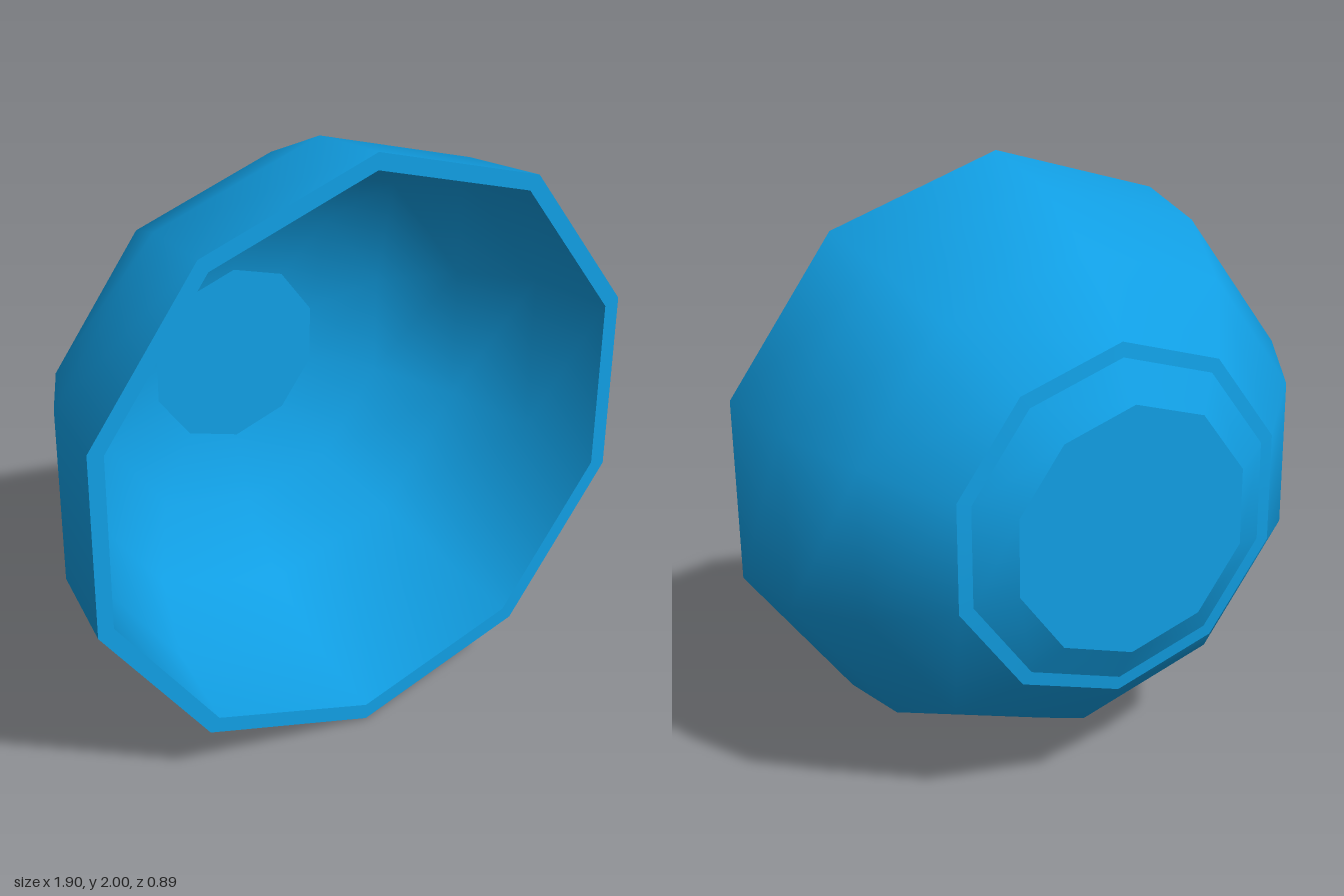
import * as THREE from 'three';

const SIDES = 10;
const FRONT = 0.445; // z of the open rim

// Outer wall follows rings of a unit sphere, 18 degrees apart
const ring = (i) => [Math.cos(i * Math.PI / 10), FRONT - Math.sin(i * Math.PI / 10)];

export function createModel() {
  const bowl = new THREE.Group();
  bowl.name = 'bowl';
  const material = new THREE.MeshStandardMaterial({ color: 0x119fe4 });

  // Turns a [radius, z] profile around the z axis; each piece is smooth, with creases between pieces
  const turn = (name, profile) => {
    const points = profile.map(([r, z]) => new THREE.Vector2(r, z));
    const geometry = new THREE.LatheGeometry(points, SIDES);
    geometry.rotateX(Math.PI / 2);
    geometry.translate(0, 1, 0);
    const mesh = new THREE.Mesh(geometry, material);
    mesh.name = name;
    bowl.add(mesh);
  };

  // Raised foot at the back
  turn('footBase', [[0, -0.445], [0.415, -0.445]]);
  turn('footSide', [[0.415, -0.445], [0.54, -0.37]]);
  turn('footLedge', [[0.54, -0.37], ring(3)]);

  // Shell, from the back to the open front and down the inside
  turn('outerWall', [ring(3), ring(2), ring(1), ring(0)]);
  turn('rim', [[1, FRONT], [0.945, FRONT]]);
  turn('innerWall', [[0.945, FRONT], [0.897, 0.148], [0.764, -0.115], [0.555, -0.315], [0.315, -0.385]]);
  turn('innerFloor', [[0.315, -0.385], [0, -0.385]]);

  return bowl;
}
